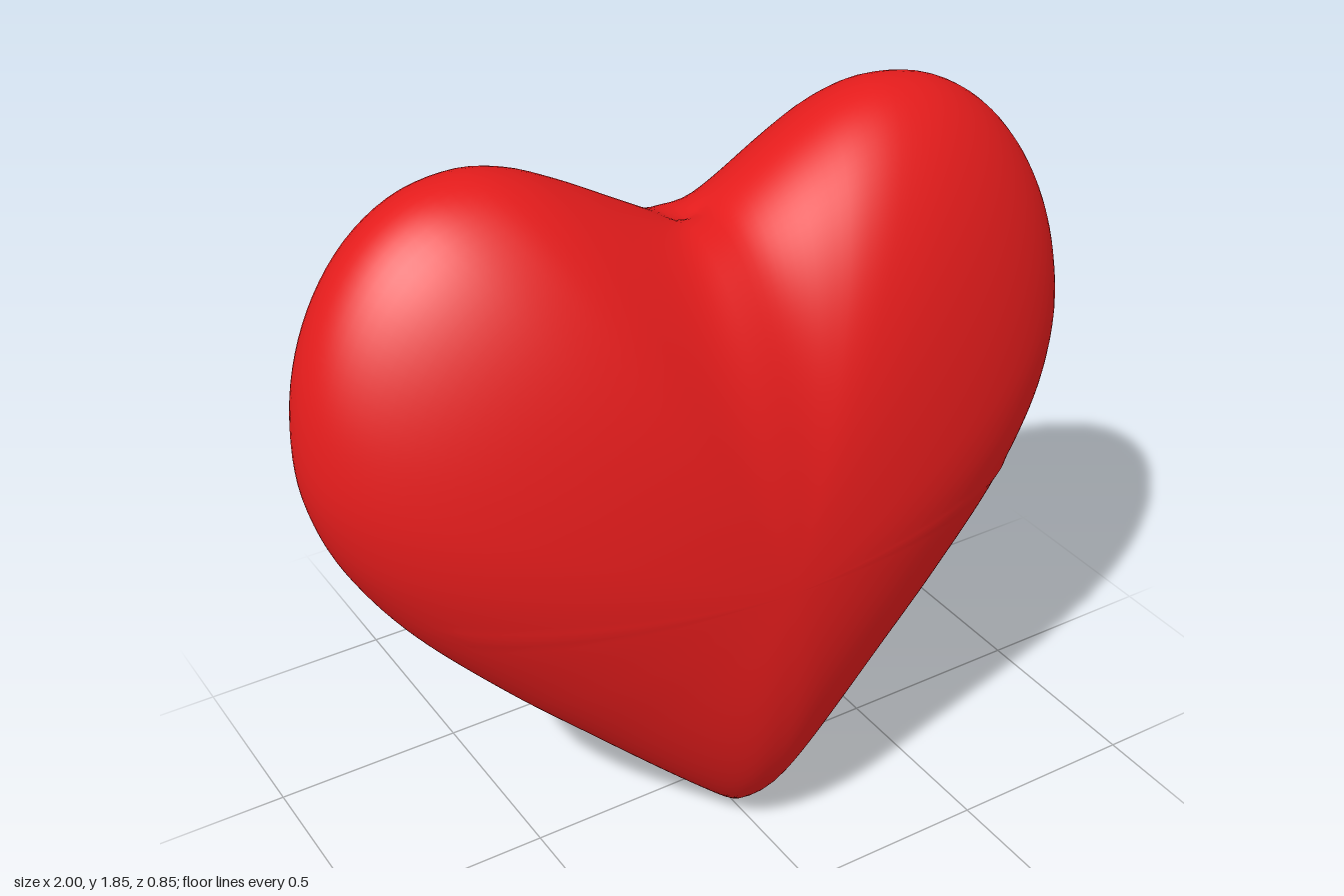
import * as THREE from 'three';
import { mergeVertices } from 'three/addons/utils/BufferGeometryUtils.js';

// Right half of the heart outline, from the cleft over the lobe to the tip
const HALF = [
  [0, 0.692], [0.03, 0.699], [0.07, 0.722], [0.18, 0.785], [0.3, 0.852], [0.42, 0.906],
  [0.54, 0.926], [0.682, 0.899], [0.81, 0.816], [0.912, 0.684], [0.977, 0.521], [1, 0.34],
  [0.98, 0.19], [0.92, 0.04], [0.8, -0.14], [0.6, -0.36], [0.4, -0.555], [0.2, -0.745], [0, -0.926],
];
// Half sizes of the round body that the lobes and the tip grow out of
const CENTRE_Y = -0.12;
const BODY = new THREE.Vector3(0.848, 0.806, 0.402);
const PINCH = 0.015; // sharpens the tip and dents the cleft from front to back
const RINGS = 80;

// Full outline: spline through one half, then its mirror image
function heartOutline() {
  const curve = new THREE.SplineCurve(HALF.map(([x, y]) => new THREE.Vector2(x, y)));
  const right = curve.getSpacedPoints(90);
  const left = right.slice(1, -1).reverse().map((p) => new THREE.Vector2(-p.x, p.y));
  return [...right, ...left];
}

// Radius that solves r^2 - 1 = k r^(5/3), the law of a rounded heart surface
function heartRadius(k) {
  let low = 0, high = 2;
  for (let i = 0; i < 40; i++) {
    const r = (low + high) / 2;
    if (r * r - 1 < k * Math.pow(r, 5 / 3)) low = r;
    else high = r;
  }
  return low;
}

// Rings run from the front pole over the outline to the back pole
function heartGeometry() {
  const outline = heartOutline();
  const n = outline.length;
  const positions = [];
  const index = [];
  for (let j = 0; j <= RINGS; j++) {
    const phi = (Math.PI * j) / RINGS;
    const s = Math.sin(phi);
    const c = Math.cos(phi);
    for (const p of outline) {
      const u = p.x / BODY.x;
      const v = (p.y - CENTRE_Y) / BODY.y;
      const R = Math.hypot(u, v);
      const g = (R * R - 1) / Math.pow(R, 5 / 3);
      const r = heartRadius(Math.cbrt(g ** 3 * s ** 5 + PINCH * c * c * (s * v / R) ** 3));
      positions.push(
        BODY.x * r * s * u / R,
        CENTRE_Y + BODY.y * r * s * v / R,
        BODY.z * r * c,
      );
    }
  }
  for (let j = 0; j < RINGS; j++) {
    for (let i = 0; i < n; i++) {
      const i2 = (i + 1) % n;
      const a = j * n + i, b = (j + 1) * n + i, c = (j + 1) * n + i2, d = j * n + i2;
      if (j < RINGS - 1) index.push(a, c, b);
      if (j > 0) index.push(a, d, c);
    }
  }
  const geometry = new THREE.BufferGeometry();
  geometry.setAttribute('position', new THREE.Float32BufferAttribute(positions, 3));
  geometry.setIndex(index);
  const merged = mergeVertices(geometry, 1e-5);
  merged.computeVertexNormals();
  return merged;
}

export function createModel() {
  const group = new THREE.Group();
  group.name = 'heartModel';

  const red = new THREE.MeshStandardMaterial({ color: 0xe41c1c });
  red.name = 'red';

  // Heart body, leaning back and turned slightly
  const heart = new THREE.Mesh(heartGeometry(), red);
  heart.name = 'heart';
  heart.rotation.set(-0.127, -0.06, 0.005);
  heart.position.set(0, 0.92, 0.012);
  group.add(heart);
  return group;
}
